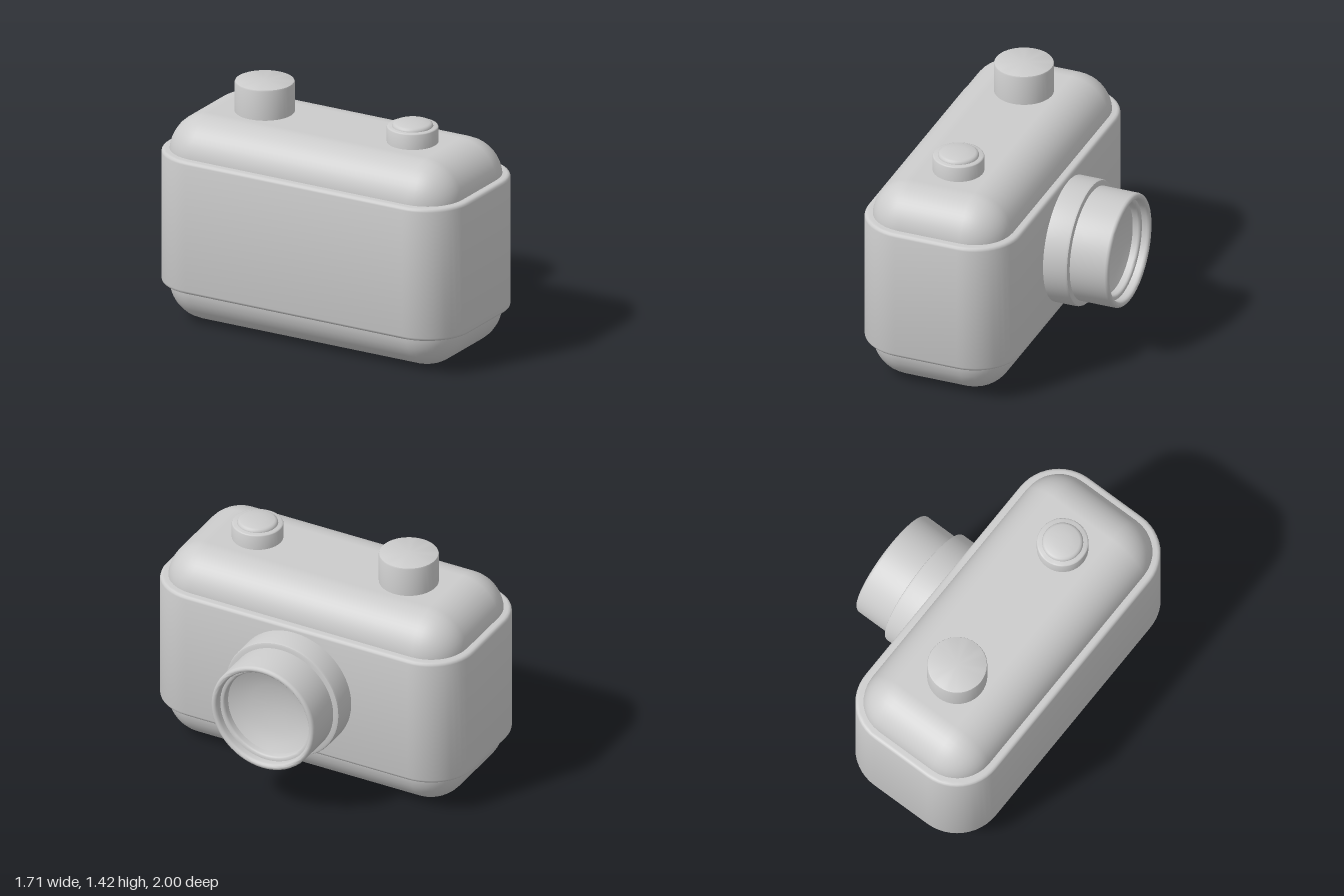
import * as THREE from 'three';
import { toCreasedNormals } from 'three/addons/utils/BufferGeometryUtils.js';
import { RoundedBoxGeometry } from 'three/addons/geometries/RoundedBoxGeometry.js';

const material = new THREE.MeshStandardMaterial({ color: 0xcccccc });

function part(name, geometry, parent, x = 0, y = 0, z = 0) {
  const mesh = new THREE.Mesh(geometry, material);
  mesh.name = name;
  mesh.position.set(x, y, z);
  parent.add(mesh);
  return mesh;
}

// Turned part from [radius, height] pairs, with sharp edges kept sharp
function turned(profile, segments) {
  const points = profile.map(([r, h]) => new THREE.Vector2(r, h));
  return toCreasedNormals(new THREE.LatheGeometry(points, segments), 0.75);
}

// Rounded-rectangle slab, standing on y = 0, with softened rims
function roundedSlab(halfX, halfZ, radius, height, bevel) {
  const s = new THREE.Shape();
  const x = halfX - radius, y = halfZ - radius;
  s.absarc(x, y, radius, 0, Math.PI / 2);
  s.absarc(-x, y, radius, Math.PI / 2, Math.PI);
  s.absarc(-x, -y, radius, Math.PI, Math.PI * 1.5);
  s.absarc(x, -y, radius, Math.PI * 1.5, Math.PI * 2);
  const g = new THREE.ExtrudeGeometry(s, {
    depth: height - 2 * bevel, curveSegments: 6, bevelThickness: bevel,
    bevelSize: bevel, bevelOffset: -bevel, bevelSegments: 3,
  });
  g.translate(0, 0, bevel).rotateX(-Math.PI / 2);
  return toCreasedNormals(g, 0.7);
}

export function createModel() {
  const model = new THREE.Group();
  model.name = 'camera';

  // The camera is turned on its stand; locally the lens points along +z
  const camera = new THREE.Group();
  camera.name = 'cameraBody';
  camera.position.x = -0.055;
  camera.rotation.y = THREE.MathUtils.degToRad(120);
  model.add(camera);

  // Soft inner body and the wide grip band around it
  part('innerBody', new RoundedBoxGeometry(1.91, 1.24, 0.85, 5, 0.235), camera, 0, 0.62, 0);
  part('gripBand', roundedSlab(1.0, 0.47, 0.28, 0.805, 0.02), camera, 0, 0.222, 0);

  // Tall dial
  part('dial', turned([
    [0, 0], [0.172, 0], [0.172, 0.215], [0.169, 0.222], [0.162, 0.225], [0, 0.225],
  ], 40), camera, 0.473, 1.2, 0);

  // Shutter button on its collar
  part('shutterCollar', turned([
    [0, 0], [0.148, 0], [0.148, 0.128], [0.145, 0.133], [0.139, 0.135], [0, 0.135],
  ], 40), camera, -0.509, 1.2, 0);
  part('shutterButton', turned([
    [0, 0], [0.118, 0], [0.118, 0.03], [0.115, 0.039], [0.108, 0.046], [0.098, 0.05],
    [0.05, 0.056], [0, 0.058],
  ], 40), camera, -0.509, 1.305, 0);

  // Lens: mounting ring, hollow stepped barrel and dished glass
  const lens = new THREE.Group();
  lens.name = 'lens';
  lens.position.set(-0.015, 0.627, 0);
  lens.rotation.x = Math.PI / 2;
  camera.add(lens);

  part('lensRing', turned([
    [0, 0.42], [0.37, 0.42], [0.37, 0.605], [0.366, 0.616], [0.355, 0.62], [0.3, 0.62],
  ], 56), lens);
  part('lensBarrel', turned([
    [0.335, 0.55], [0.335, 0.835], [0.332, 0.846], [0.325, 0.853], [0.316, 0.855],
    [0.308, 0.853], [0.301, 0.846], [0.298, 0.835], [0.298, 0.805], [0.282, 0.805],
    [0.275, 0.8], [0.272, 0.79], [0.272, 0.74],
  ], 56), lens);
  part('lensGlass', turned([
    [0.274, 0.76], [0.22, 0.735], [0.15, 0.715], [0.075, 0.704], [0, 0.7],
  ].reverse().map(([r, h]) => [r, h]).reverse(), 56), lens);

  return model;
}
